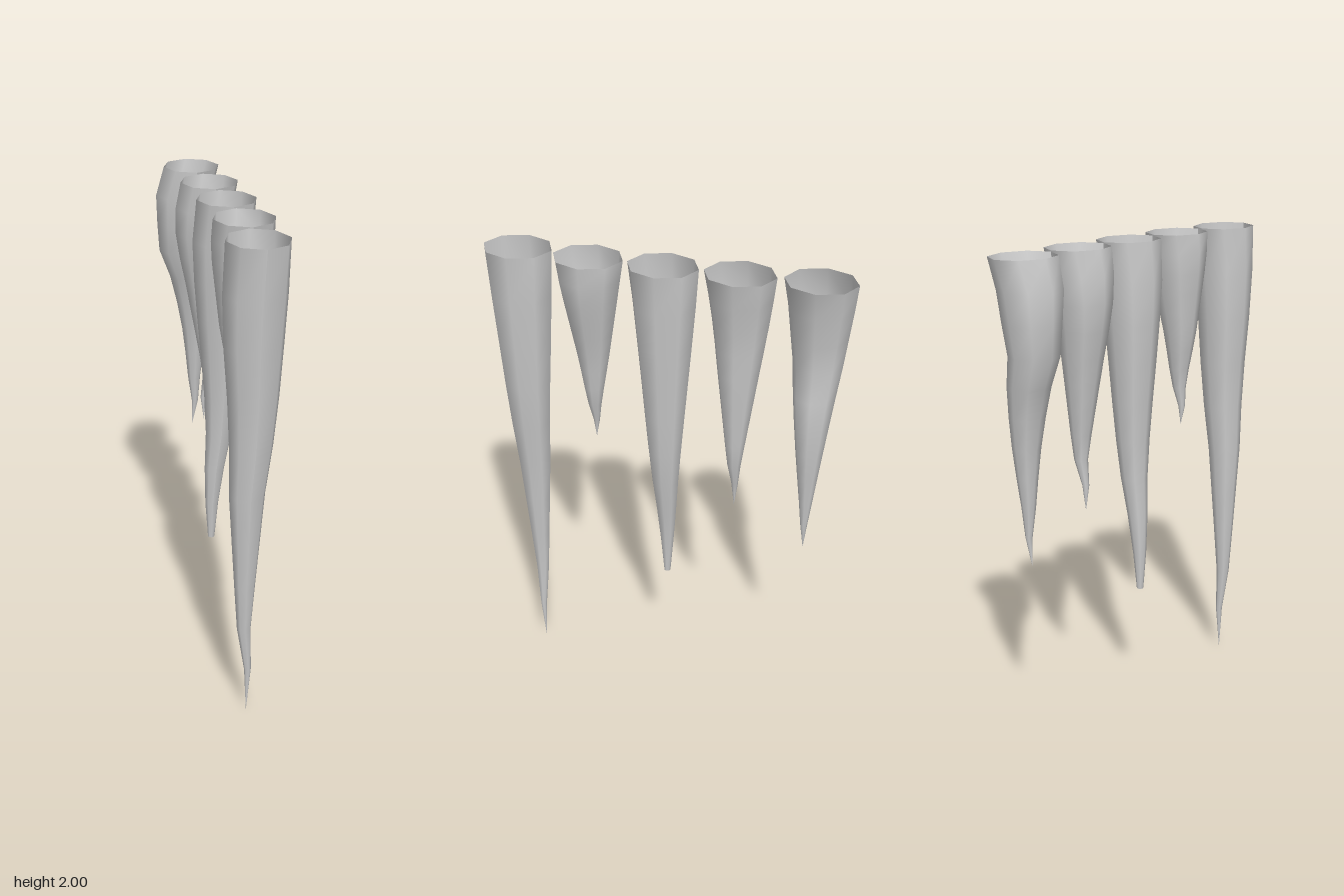
import * as THREE from 'three';

const SIDES = 8;
const STEPS = 10;
const TOP = 2;
const RADIUS = 0.142;

// z position, tip height, and the sideways bend (x centre of each ring, top to tip)
const ICICLES = [
  { name: 'longIcicle', z: 0.6, tip: 0,
    bend: [0.02, 0.012, 0.008, 0.008, 0.002, -0.012, -0.015, -0.018, -0.02, -0.003, -0.008] },
  { name: 'shortIcicle', z: 0.305, tip: 1.17,
    bend: [0.035, 0.03, 0.025, 0.02, 0.015, 0.01, 0.01, 0.012, 0.01, -0.005, 0] },
  // this one has its tip broken off, so it stops one ring early
  { name: 'brokenIcicle', z: 0.005, tip: 0.333,
    bend: [0.03, 0.015, 0.012, 0.01, 0.01, 0.008, 0, -0.02, -0.032, -0.035] },
  { name: 'mediumIcicle', z: -0.295, tip: 0.93,
    bend: [0.02, 0, -0.01, -0.008, 0, 0.005, 0.01, 0.015, 0.017, -0.008, -0.008] },
  { name: 'crookedIcicle', z: -0.6, tip: 0.77,
    bend: [0, -0.034, -0.04, -0.047, -0.015, 0, 0.008, 0.008, 0.005, 0.008, -0.008] },
];

// Hollow straight taper whose rings are shifted sideways along the bend
function icicle({ name, z, tip, bend }, material) {
  const rings = bend.length - 1;
  const geo = new THREE.CylinderGeometry(1, 1, 1, SIDES, rings, true);
  const pos = geo.attributes.position;
  for (let i = 0; i < pos.count; i++) {
    const ring = Math.round((0.5 - pos.getY(i)) * rings);
    const t = ring / STEPS;
    const r = RADIUS * (1 - t);
    // the mouth is slightly squashed from side to side
    const squash = ring === 0 ? 0.85 : ring === 1 ? 0.96 : 1;
    pos.setXYZ(i,
      pos.getX(i) * r * squash + bend[ring],
      THREE.MathUtils.lerp(TOP, tip, t),
      pos.getZ(i) * r + z);
  }
  geo.computeVertexNormals();
  const mesh = new THREE.Mesh(geo, material);
  mesh.name = name;
  return mesh;
}

export function createModel() {
  const group = new THREE.Group();
  group.name = 'icicleRow';
  const material = new THREE.MeshStandardMaterial({ color: 0xcccccc, side: THREE.DoubleSide });
  for (const spec of ICICLES) group.add(icicle(spec, material));
  return group;
}
